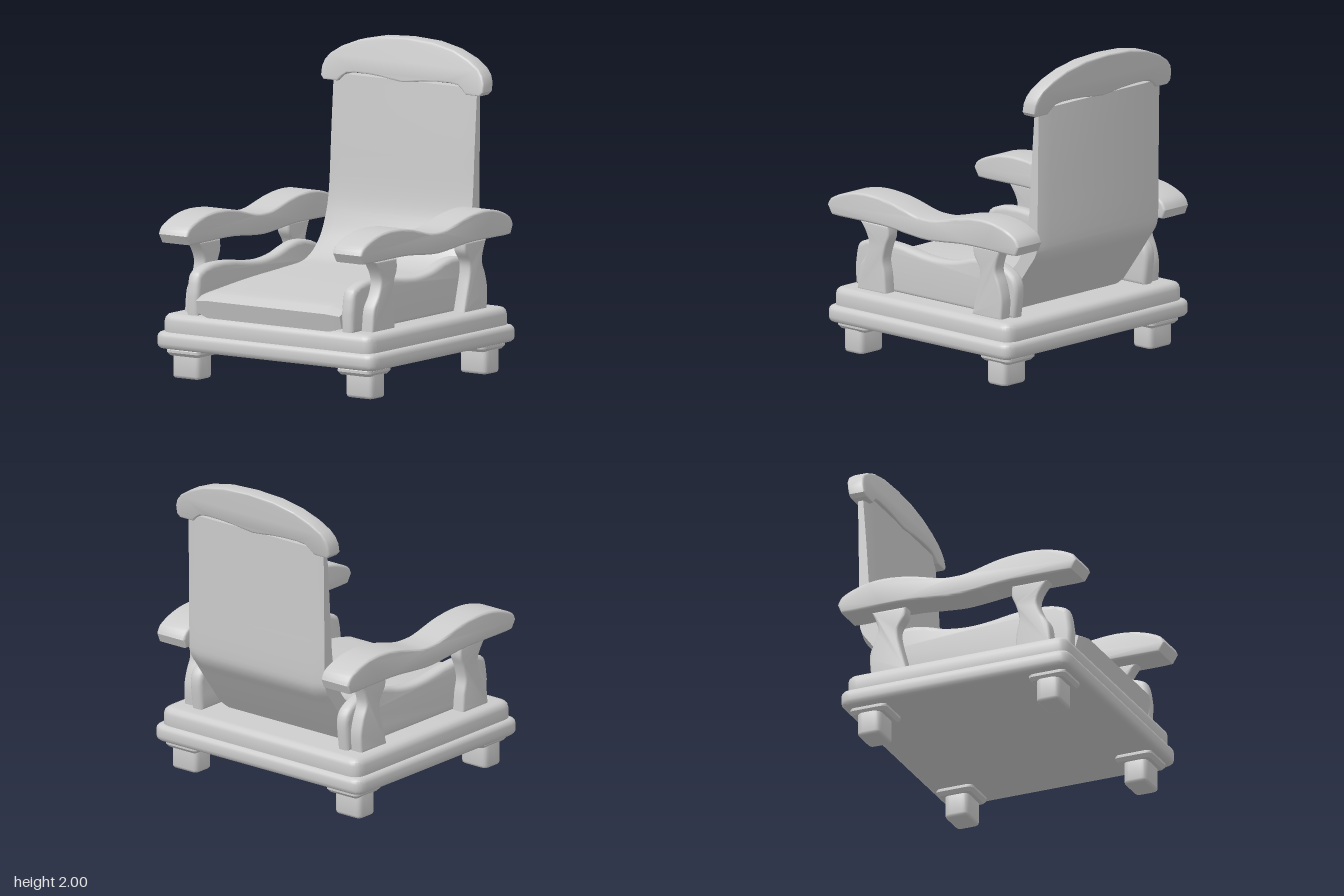
import * as THREE from 'three';
import { toCreasedNormals } from 'three/addons/utils/BufferGeometryUtils.js';

const material = new THREE.MeshStandardMaterial({ color: 0xcccccc });

// Smooth run of points through a few control points.
const smooth = (points, n = 20) =>
  new THREE.SplineCurve(points.map(([a, b]) => new THREE.Vector2(a, b))).getPoints(n).map((p) => [p.x, p.y]);

const outline = (points) => new THREE.Shape(points.map(([a, b]) => new THREE.Vector2(a, b)));

// Extrusion centred on its depth; the bevel stays inside the outline.
function extrude(shape, depth, bevelSize, bevelThickness = bevelSize, bevelSegments = 3) {
  const geometry = new THREE.ExtrudeGeometry(shape, {
    depth: depth - 2 * bevelThickness, bevelSize, bevelThickness, bevelSegments,
    bevelOffset: -bevelSize, curveSegments: 5,
  });
  return geometry.translate(0, 0, bevelThickness - depth / 2);
}

function add(parent, name, geometry, crease = 0.6) {
  const mesh = new THREE.Mesh(toCreasedNormals(geometry, crease), material);
  mesh.name = name;
  parent.add(mesh);
  return mesh;
}

// Side profile given as [z, y] points, extruded between x0 and x1.
function profileX(points, x0, x1, ...bevel) {
  return extrude(outline(points), x1 - x0, ...bevel)
    .rotateY(-Math.PI / 2)
    .translate((x0 + x1) / 2, 0, 0);
}

// Horizontal slab with rounded corners and rounded edges.
function slab(x, z, width, depth, y0, y1, radius, bevel, segments = 3) {
  const w = width / 2, d = depth / 2, r = radius;
  const shape = new THREE.Shape();
  shape.moveTo(-w + r, -d).lineTo(w - r, -d).quadraticCurveTo(w, -d, w, -d + r);
  shape.lineTo(w, d - r).quadraticCurveTo(w, d, w - r, d);
  shape.lineTo(-w + r, d).quadraticCurveTo(-w, d, -w, d - r);
  shape.lineTo(-w, -d + r).quadraticCurveTo(-w, -d, -w + r, -d);
  return extrude(shape, y1 - y0, bevel, bevel, segments)
    .rotateX(-Math.PI / 2)
    .translate(x, (y0 + y1) / 2, z);
}

export function createModel() {
  const chair = new THREE.Group();
  chair.name = 'armchair';

  // Two-tier plinth
  add(chair, 'lowerBase', slab(0, 0.018, 1.66, 1.545, 0.187, 0.295, 0.08, 0.035));
  add(chair, 'upperBase', slab(0, 0.02, 1.585, 1.49, 0.25, 0.407, 0.08, 0.045));

  // Feet with collars
  for (const x of [-0.655, 0.655]) {
    for (const z of [0.622, -0.583]) {
      const foot = new THREE.Group();
      foot.name = z > 0 ? 'frontFoot' : 'backFoot';
      add(foot, 'footCollar', slab(x + Math.sign(x) * -0.01, z, 0.255, 0.25, 0.145, 0.2, 0.04, 0.02, 1));
      add(foot, 'footBlock', slab(x, z, 0.205, 0.157, 0, 0.17, 0.04, 0.02));
      chair.add(foot);
    }
  }

  // Seat and back in one bent slab, chamfered along both sides
  const seatProfile = [
    [0.735, 0.4], [0.768, 0.515], [0.69, 0.555],
    ...smooth([[0.62, 0.565], [0.2, 0.6], [-0.2, 0.62], [-0.4, 0.64], [-0.53, 0.73], [-0.6, 0.86], [-0.64, 1.03], [-0.665, 1.4], [-0.69, 1.74]], 36),
    [-0.772, 1.74],
    ...smooth([[-0.765, 1.2], [-0.762, 0.9], [-0.745, 0.795], [-0.68, 0.7], [-0.59, 0.575], [-0.46, 0.4]], 16),
  ];
  add(chair, 'seatAndBack', profileX(seatProfile, -0.542, 0.542, 0.025, 0.09, 1), 0.35);

  // Crest rail, leaning back with height
  const crestHalf = [
    [0, 1.73], [0.08, 1.738], [0.16, 1.749], [0.26, 1.756], [0.36, 1.757], [0.42, 1.75],
    [0.455, 1.725], [0.485, 1.697], [0.59, 1.697], [0.612, 1.72], [0.612, 1.775],
    [0.595, 1.82], [0.56, 1.86], [0.48, 1.91], [0.36, 1.957], [0.2, 1.99], [0, 2],
  ];
  const crestPoints = [...crestHalf, ...crestHalf.slice(1, -1).reverse().map(([x, y]) => [-x, y])];
  const crest = extrude(outline(crestPoints), 0.108, 0.012);
  const p = crest.attributes.position;
  for (let i = 0; i < p.count; i++) p.setZ(i, p.getZ(i) - 0.721 - (p.getY(i) - 1.7) * 0.18);
  add(chair, 'crestRail', crest);

  // Arms: rest, two waisted posts and a padded side panel on each side
  const armProfile = [
    ...smooth([[0.825, 0.91], [0.79, 0.96], [0.66, 1.01], [0.5, 1.03], [0.3, 1.012], [0.1, 0.963], [0, 0.955],
      [-0.1, 0.963], [-0.3, 1.012], [-0.48, 1.03], [-0.63, 1.01], [-0.75, 0.96], [-0.785, 0.905]], 40),
    [-0.76, 0.848],
    ...smooth([[-0.7, 0.845], [-0.35, 0.848], [-0.15, 0.832], [0, 0.822], [0.15, 0.832], [0.35, 0.85], [0.72, 0.85]], 20),
    [0.79, 0.853],
  ];
  const frontPost = [
    ...smooth([[0.385, 0.4], [0.395, 0.52], [0.412, 0.61], [0.39, 0.7], [0.362, 0.77], [0.365, 0.838]]),
    ...smooth([[0.602, 0.838], [0.55, 0.765], [0.532, 0.7], [0.56, 0.62], [0.61, 0.54], [0.627, 0.4]]),
  ];
  const backPost = [
    ...smooth([[-0.585, 0.4], [-0.593, 0.52], [-0.57, 0.62], [-0.537, 0.7], [-0.55, 0.77], [-0.58, 0.838]]),
    ...smooth([[-0.352, 0.838], [-0.355, 0.78], [-0.4, 0.71], [-0.402, 0.64], [-0.375, 0.53], [-0.34, 0.4]]),
  ];
  const panelProfile = [
    [0.722, 0.4],
    ...smooth([[0.727, 0.52], [0.705, 0.645], [0.655, 0.685], [0.54, 0.71], [0.35, 0.705], [0.18, 0.68], [0.03, 0.67],
      [-0.12, 0.685], [-0.24, 0.72], [-0.36, 0.74], [-0.5, 0.72], [-0.6, 0.67], [-0.635, 0.6], [-0.63, 0.5]], 40),
    [-0.615, 0.4],
  ];
  const parts = [
    ['armrest', armProfile, 0.548, 0.768, 0.015],
    ['frontArmPost', frontPost, 0.622, 0.712, 0.014],
    ['backArmPost', backPost, 0.622, 0.712, 0.014],
    ['sidePanel', panelProfile, 0.54, 0.63, 0.028],
  ];
  for (const [side, label] of [[1, 'left'], [-1, 'right']]) {
    const arm = new THREE.Group();
    arm.name = label + 'Arm';
    for (const [name, profile, inner, outer, bevel] of parts) {
      const [x0, x1] = side > 0 ? [inner, outer] : [-outer, -inner];
      add(arm, name, profileX(profile, x0, x1, bevel));
    }
    chair.add(arm);
  }
  return chair;
}
